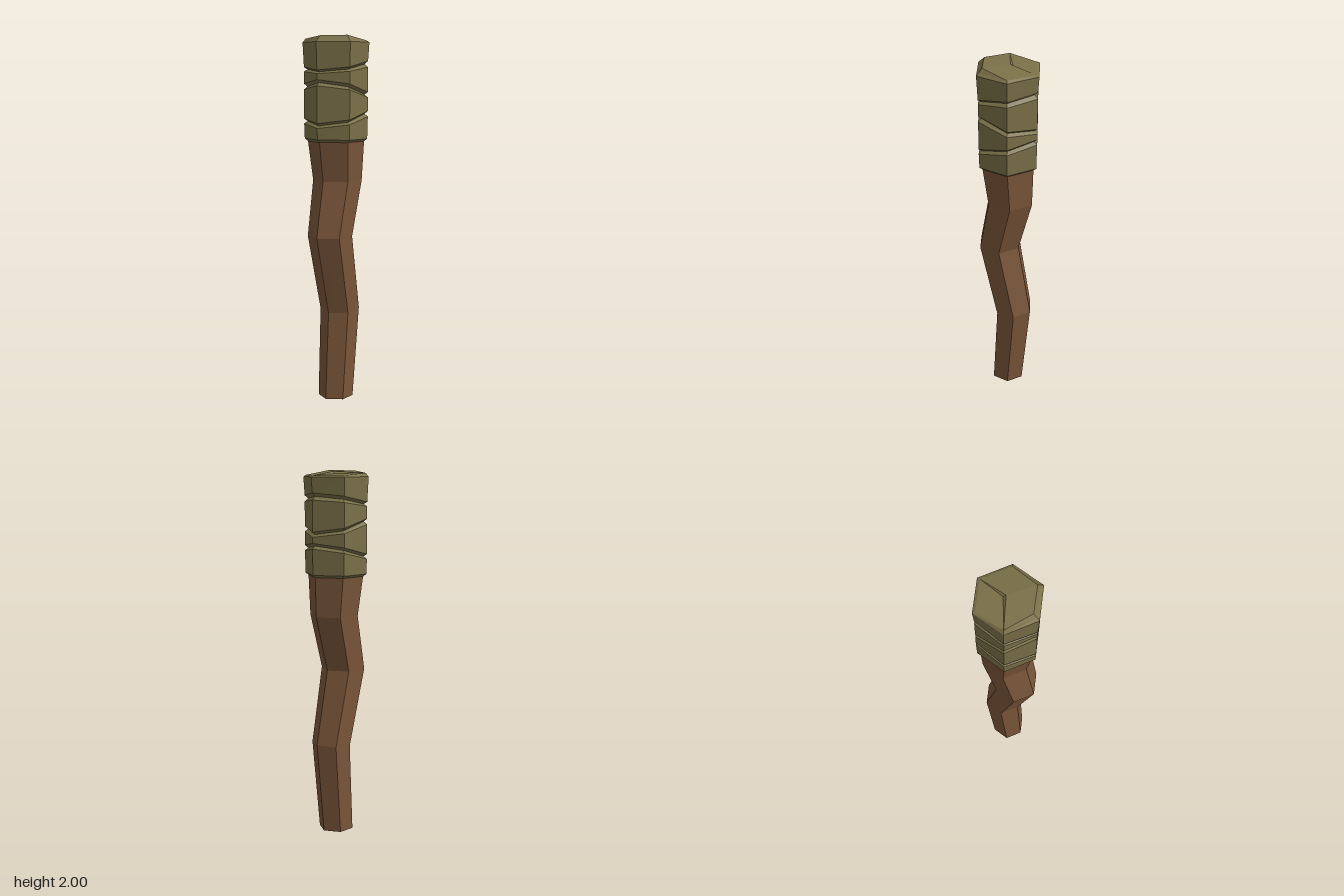
import * as THREE from 'three';

const SIDES = 6;

// Six-sided ring with a corner facing +z; its height runs from yFront to yBack
function ring(radius, yFront, yBack = yFront, zCentre = 0) {
  return Array.from({ length: SIDES }, (_, k) => {
    const a = (k * Math.PI * 2) / SIDES;
    const t = (1 - Math.cos(a)) / 2;
    return [radius * Math.sin(a), yFront + (yBack - yFront) * t, zCentre + radius * Math.cos(a)];
  });
}

// Triangles joining stacked rings, listed from bottom to top
function skin(rings) {
  const tris = [];
  for (let i = 0; i + 1 < rings.length; i++) {
    const lo = rings[i], hi = rings[i + 1];
    for (let k = 0; k < SIDES; k++) {
      const n = (k + 1) % SIDES;
      tris.push([lo[k], lo[n], hi[n]], [lo[k], hi[n], hi[k]]);
    }
  }
  return tris;
}

// Flat cap closing a ring
function cap(points, up) {
  const tris = [];
  for (let k = 1; k + 1 < points.length; k++) {
    tris.push(up ? [points[0], points[k], points[k + 1]] : [points[0], points[k + 1], points[k]]);
  }
  return tris;
}

function makeMesh(name, tris, color) {
  const geometry = new THREE.BufferGeometry();
  geometry.setAttribute('position', new THREE.Float32BufferAttribute(tris.flat(2), 3));
  geometry.computeVertexNormals();
  const mesh = new THREE.Mesh(geometry, new THREE.MeshStandardMaterial({ color, flatShading: true }));
  mesh.name = name;
  return mesh;
}

// Crooked wooden shaft that thickens towards the head
function handle() {
  const rings = [
    ring(0.096, 0, 0, 0.003),
    ring(0.108, 0.485, 0.507, -0.037),
    ring(0.122, 0.917, 0.917, 0.057),
    ring(0.134, 1.22, 1.22, -0.014),
    ring(0.156, 1.46, 1.46, 0.001),
  ];
  return makeMesh('handle', [...skin(rings), ...cap(rings[0], false), ...cap(rings.at(-1), true)], 0x7a563a);
}

// Cloth wound around the head, with slanting grooves between the turns
function wrapping() {
  const outer = 0.174, inner = 0.155;
  const rings = [ring(0.152, 1.433), ring(0.171, 1.448)];
  // Each groove: front lower, front upper, back lower, back upper
  const grooves = [
    [1.51, 1.535, 1.588, 1.618],
    [1.735, 1.767, 1.65, 1.677],
    [1.798, 1.817, 1.845, 1.882],
  ];
  for (const [fl, fu, bl, bu] of grooves) {
    rings.push(ring(outer, fl, bl), ring(inner, (fl + fu) / 2, (bl + bu) / 2), ring(outer, fu, bu));
  }
  rings.push(ring(0.181, 1.965));

  // Bevelled rim
  const backLeft = [0.143, 1.975, -0.082];
  const back = [0, 1.972, -0.165];
  const backRight = [-0.143, 1.972, -0.082];
  const frontRight = [-0.143, 1.985, 0.082];
  rings.push([[0, 1.98, 0.163], [0.143, 1.978, 0.083], backLeft, back, backRight, frontRight]);

  // Raised front fold
  const front = [0, 1.998, 0.145];
  const frontLeft = [0.126, 2, 0.075];
  const topRing = [front, frontLeft, backLeft, back, backRight, frontRight];
  rings.push(topRing);

  // Overlapping folds meeting near the middle, with a small step between them
  const high = [0, 1.994, -0.012];
  const low = [-0.01, 1.981, -0.022];
  const folds = [
    [high, frontRight, front], [high, front, frontLeft], [high, frontLeft, backLeft],
    [high, backLeft, back], [high, back, low],
    [low, back, backRight], [low, backRight, frontRight], [low, frontRight, high],
  ];
  return makeMesh('wrapping', [...skin(rings), ...cap(rings[0], false), ...folds], 0x7a7048);
}

export function createModel() {
  const group = new THREE.Group();
  group.name = 'torch';
  group.add(handle(), wrapping());
  return group;
}
